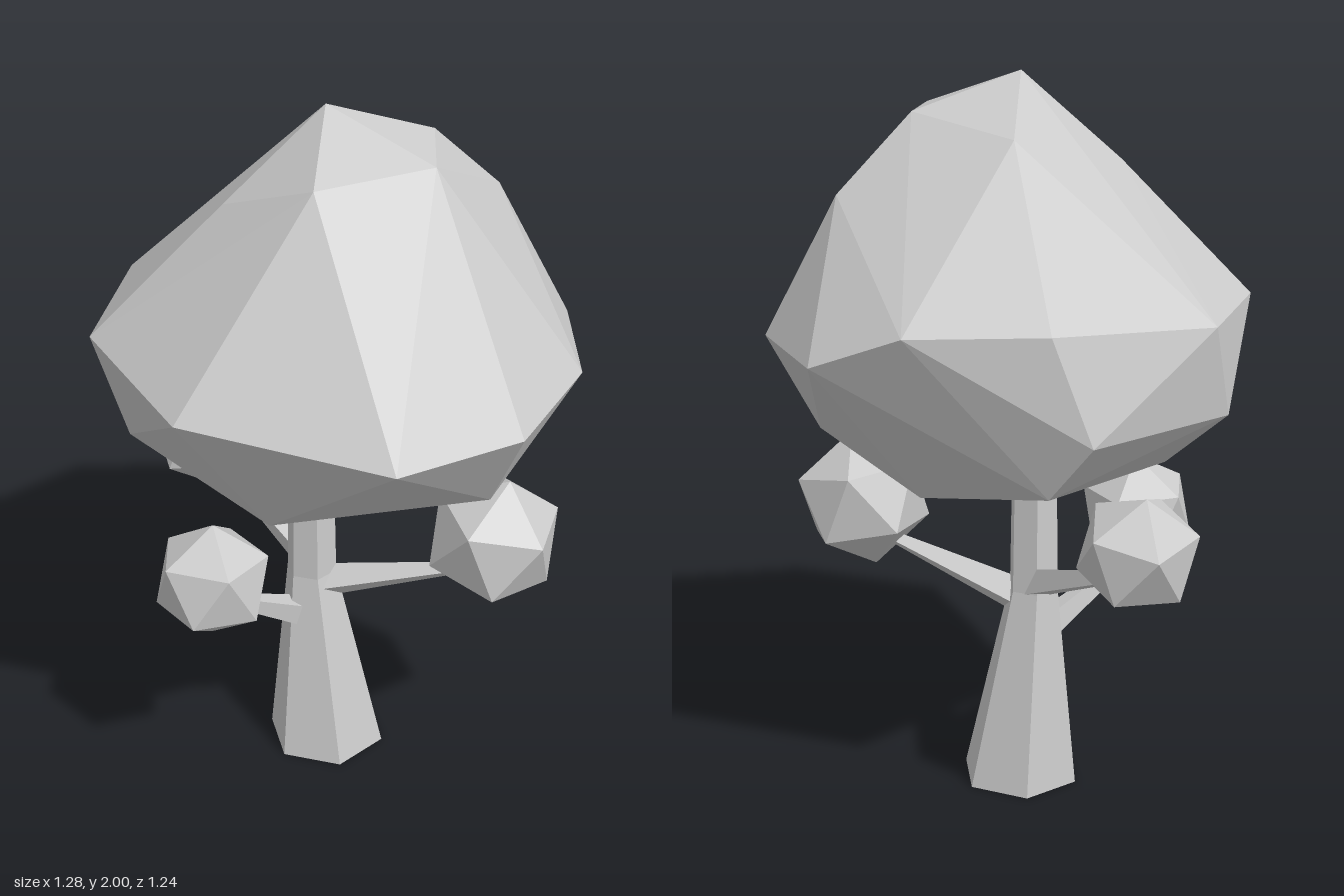
import * as THREE from 'three';
import { ConvexGeometry } from 'three/addons/geometries/ConvexGeometry.js';

const material = new THREE.MeshStandardMaterial({ color: 0xcccccc, flatShading: true });
const vec = (p) => new THREE.Vector3(...p);

function addMesh(group, name, geometry) {
  const mesh = new THREE.Mesh(geometry, material);
  mesh.name = name;
  group.add(mesh);
  return mesh;
}

// Twenty-sided leaf clump: one pole along axis, one upper-ring corner towards lean
function clumpGeometry(radius, axis, lean) {
  const up = vec(axis).normalize();
  const side = vec(lean).addScaledVector(up, -vec(lean).dot(up)).normalize();
  const other = new THREE.Vector3().crossVectors(side, up);
  const h = 1 / Math.sqrt(5);
  const points = [];
  for (const sign of [1, -1]) {
    points.push(up.clone().multiplyScalar(sign * radius));
    for (let i = 0; i < 5; i++) {
      const a = i * Math.PI * 0.4;
      points.push(new THREE.Vector3()
        .addScaledVector(up, h)
        .addScaledVector(side, 2 * h * Math.cos(a))
        .addScaledVector(other, 2 * h * Math.sin(a))
        .multiplyScalar(sign * radius));
    }
  }
  return new ConvexGeometry(points);
}

// Tapered four-sided limb between two points
function addBranch(group, name, from, to, r0, r1) {
  const a = vec(from), b = vec(to);
  const dir = b.clone().sub(a);
  const mesh = addMesh(group, name, new THREE.CylinderGeometry(r1, r0, dir.length(), 4));
  mesh.position.copy(a).add(b).multiplyScalar(0.5);
  mesh.quaternion.setFromUnitVectors(new THREE.Vector3(0, 1, 0), dir.normalize());
}

export function createModel() {
  const tree = new THREE.Group();
  tree.name = 'tree';

  // Six-sided trunk: flared foot, then a straighter upper stem
  const foot = new THREE.CylinderGeometry(0.072, 0.17, 0.58, 6).rotateY(Math.PI / 2);
  addMesh(tree, 'trunkFoot', foot.translate(0, 0.29, 0)).position.x = -0.06;
  foot.attributes.position.needsUpdate = true;
  const p = foot.attributes.position;
  for (let i = 0; i < p.count; i++) {
    if (p.getY(i) > 0.3) p.setX(i, p.getX(i) - 0.04);
  }
  addMesh(tree, 'trunkStem', new THREE.CylinderGeometry(0.066, 0.072, 0.36, 6).rotateY(Math.PI / 2))
    .position.set(-0.1, 0.76, 0);

  // Faceted crown, from the top down
  const crown = [
    [-0.04, 2.0, 0.04],
    // shoulder
    [0, 1.87, 0.28], [0.26, 1.89, 0.1], [0.2, 1.9, -0.12], [-0.12, 1.86, -0.19],
    [0.34, 1.7, -0.28], [-0.27, 1.76, 0.18], [-0.29, 1.745, -0.05],
    // widest ring
    [-0.26, 1.36, 0.615], [0.3, 1.3, 0.6], [0.56, 1.31, 0.36], [0.64, 1.34, 0.03],
    [0.53, 1.32, -0.34], [0.26, 1.33, -0.6], [-0.01, 1.44, -0.62], [-0.35, 1.45, -0.49],
    [-0.45, 1.17, -0.46], [-0.64, 1.41, -0.1], [-0.645, 1.15, 0], [-0.6, 1.4, 0.305],
    // underside
    [-0.1, 0.95, 0.37], [0.45, 1.03, 0.21], [0.45, 1.03, -0.2], [0.3, 0.91, -0.14],
    [0.09, 0.92, -0.32], [-0.32, 1.01, -0.43], [-0.43, 0.95, 0.13], [-0.54, 1.07, 0.22],
    [-0.05, 0.865, 0.02],
  ];
  addMesh(tree, 'crown', new ConvexGeometry(crown.map(vec)));

  // Side branches, each carrying a small leaf clump
  const limbs = [
    { name: 'left', from: [-0.07, 0.54, 0], to: [0.34, 0.66, 0], r: 0.055,
      at: [0.42, 0.77, -0.01], size: 0.195, axis: [0.04, 0.19, 0.01], lean: [-1, 0, 0] },
    { name: 'front', from: [-0.12, 0.45, 0.04], to: [-0.28, 0.6, 0.25], r: 0.045,
      at: [-0.28, 0.72, 0.33], size: 0.168, axis: [0.02, 1, -0.06], lean: [0, 0, -1] },
    { name: 'right', from: [-0.11, 0.6, -0.02], to: [-0.45, 0.75, -0.22], r: 0.05,
      at: [-0.49, 0.83, -0.24], size: 0.168, axis: [-0.2, 0.95, -0.2], lean: [1, 0, 0.3] },
  ];
  for (const l of limbs) {
    addBranch(tree, l.name + 'Branch', l.from, l.to, l.r, 0.018);
    addMesh(tree, l.name + 'LeafClump', clumpGeometry(l.size, l.axis, l.lean)).position.set(...l.at);
  }
  return tree;
}
